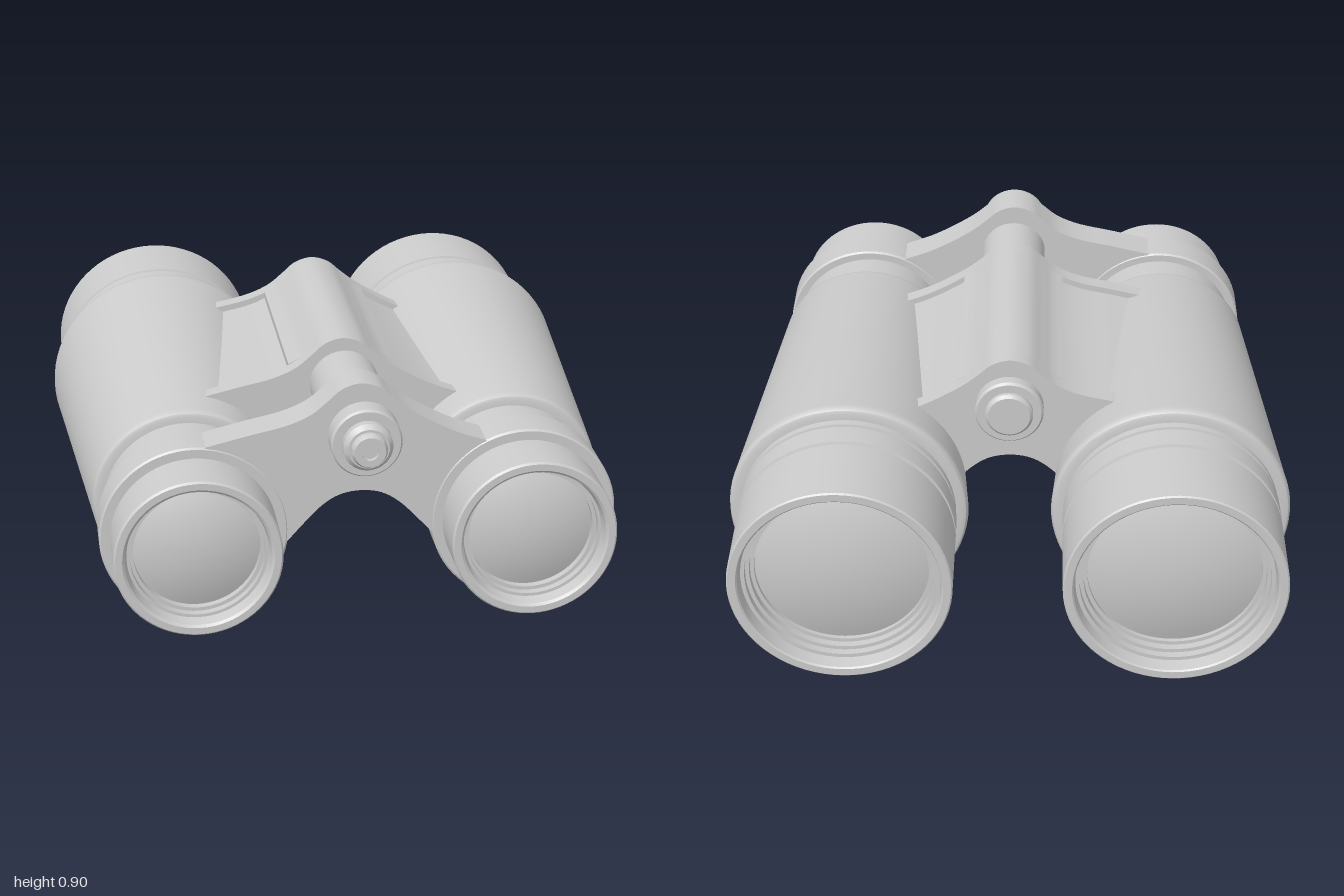
import * as THREE from 'three';
import { toCreasedNormals } from 'three/addons/utils/BufferGeometryUtils.js';

const BARREL_X = 0.542, BARREL_Y = 0.408, AXLE_Y = 0.745;
const material = new THREE.MeshStandardMaterial({ color: 0xcccccc });

function mesh(name, geometry) {
  const m = new THREE.Mesh(geometry, material);
  m.name = name;
  return m;
}

// Turned part around the z axis from [radius, z] pairs, running from back to front
function turned(name, pairs, segments = 72) {
  const g = new THREE.LatheGeometry(pairs.map(([r, z]) => new THREE.Vector2(r, z)), segments);
  g.rotateX(Math.PI / 2);
  return mesh(name, toCreasedNormals(g, 0.5));
}

// Domed lens; dir = 1 bulges to the front, -1 to the back
function lens(name, radius, z, bulge, dir) {
  const pts = [];
  for (let i = 0; i <= 12; i++) {
    const t = i / 12;
    pts.push([radius * t, z + dir * bulge * (1 - t * t)]);
  }
  return turned(name, dir > 0 ? pts.reverse() : pts);
}

function makeBarrel() {
  const barrel = new THREE.Group();
  barrel.add(
    // Objective tube with stepped inner rings and two outer grooves
    turned('objectiveTube', [
      [0.285, -0.88], [0.285, -0.9], [0.298, -0.9], [0.298, -0.925], [0.311, -0.925],
      [0.311, -0.95], [0.324, -0.95], [0.33, -0.995], [0.335, -1], [0.36, -1], [0.365, -0.995],
      [0.365, -0.72], [0.355, -0.717], [0.355, -0.703], [0.365, -0.7], [0.365, -0.613],
      [0.352, -0.61], [0.352, -0.595], [0.362, -0.593], [0.362, -0.56]
    ]),
    // Tapered main body with rounded shoulders
    turned('taperedBody', [
      [0.35, -0.567], [0.385, -0.567], [0.395, -0.563], [0.401, -0.555], [0.403, -0.543],
      [0.401, -0.525], [0.314, 0.515], [0.312, 0.527], [0.306, 0.537], [0.296, 0.541], [0.26, 0.541]
    ]),
    // Eyepiece tube with clamp ring and recessed front
    turned('eyepieceTube', [
      [0.275, 0.53], [0.275, 0.687], [0.3, 0.687], [0.306, 0.693], [0.306, 0.812], [0.3, 0.818],
      [0.27, 0.818], [0.27, 0.993], [0.264, 1], [0.242, 1], [0.234, 0.993], [0.226, 0.955],
      [0.216, 0.955], [0.216, 0.93], [0.204, 0.93], [0.204, 0.9]
    ]),
    lens('objectiveLens', 0.287, -0.885, 0.05, -1),
    lens('eyepieceLens', 0.206, 0.905, 0.04, 1)
  );
  return barrel;
}

// Saddle outline: humped top, ends hidden inside the barrels, arched underside
function saddleShape(topDrop = 0, archLift = 0) {
  const v = (x, y) => new THREE.Vector2(x, y);
  const top = [
    [-0.5, 0.712], [-0.36, 0.745], [-0.24, 0.772], [-0.16, 0.806], [-0.105, 0.85], [-0.06, 0.888],
    [0, 0.905], [0.06, 0.888], [0.105, 0.85], [0.16, 0.806], [0.24, 0.757], [0.32, 0.717], [0.41, 0.684]
  ].map(([x, y]) => v(x, y - topDrop));
  const arch = [
    [0.25, 0.352], [0.19, 0.42], [0.13, 0.482], [0.07, 0.52], [0, 0.532],
    [-0.07, 0.52], [-0.13, 0.482], [-0.19, 0.42], [-0.25, 0.352]
  ].map(([x, y]) => v(x, y + archLift));
  const pts = new THREE.SplineCurve(top).getPoints(60);
  const arc = (side, from, to) => {
    for (let i = 0; i <= 10; i++) {
      const a = THREE.MathUtils.degToRad(from + (to - from) * i / 10);
      pts.push(v(side * (BARREL_X + 0.275 * Math.cos(a)), BARREL_Y + 0.275 * Math.sin(a)));
    }
  };
  arc(1, 116, 188);
  pts.push(...new THREE.SplineCurve(arch).getPoints(40));
  arc(-1, 188, 99);
  return new THREE.Shape(pts);
}

// Hump of the saddle on its own, with flat sides
function humpShape() {
  const top = [
    [-0.177, 0.8], [-0.14, 0.82], [-0.105, 0.85], [-0.06, 0.888], [0, 0.905],
    [0.06, 0.888], [0.105, 0.85], [0.14, 0.82], [0.177, 0.797]
  ].map(([x, y]) => new THREE.Vector2(x, y));
  const pts = new THREE.SplineCurve(top).getPoints(40);
  pts.push(new THREE.Vector2(0.177, 0.65), new THREE.Vector2(-0.177, 0.65));
  return new THREE.Shape(pts);
}

function plate(name, shape, z0, z1) {
  const g = new THREE.ExtrudeGeometry(shape, { depth: z1 - z0, bevelEnabled: false });
  g.translate(0, 0, z0);
  return mesh(name, toCreasedNormals(g, 0.5));
}

export function createModel() {
  const model = new THREE.Group();
  model.name = 'binoculars';

  // Two barrels
  for (const side of [1, -1]) {
    const barrel = makeBarrel();
    barrel.name = side > 0 ? 'leftBarrel' : 'rightBarrel';
    barrel.position.set(side * BARREL_X, BARREL_Y, 0);
    model.add(barrel);
  }

  // Eyepiece bridge and central hinge between the barrels
  model.add(
    plate('eyepieceBridge', saddleShape(), 0.69, 0.815),
    plate('hingeFrontPlate', saddleShape(), 0.36, 0.415),
    plate('hingeBackPlate', saddleShape(), -0.405, -0.35),
    plate('hingePanel', saddleShape(0.022, 0.025), -0.35, 0.36),
    plate('hingeHump', humpShape(), -0.35, 0.36)
  );

  // Central axle, focus sleeve and end knobs
  const axle = turned('focusAxle', [
    [0, -0.5], [0.07, -0.5], [0.08, -0.49], [0.08, -0.478], [0.108, -0.478], [0.115, -0.47],
    [0.115, -0.435], [0.108, -0.428], [0.09, -0.428], [0.09, -0.38], [0.115, -0.38],
    [0.115, 0.65], [0.082, 0.65], [0.082, 0.85], [0.109, 0.85], [0.115, 0.856], [0.115, 0.922],
    [0.109, 0.93], [0.08, 0.93], [0.08, 0.955], [0.066, 0.972], [0.058, 0.972], [0.058, 0.985],
    [0.05, 1], [0.027, 1], [0.027, 0.985], [0, 0.985]
  ], 48);
  axle.position.set(0.003, AXLE_Y, 0);
  model.add(axle);

  return model;
}
